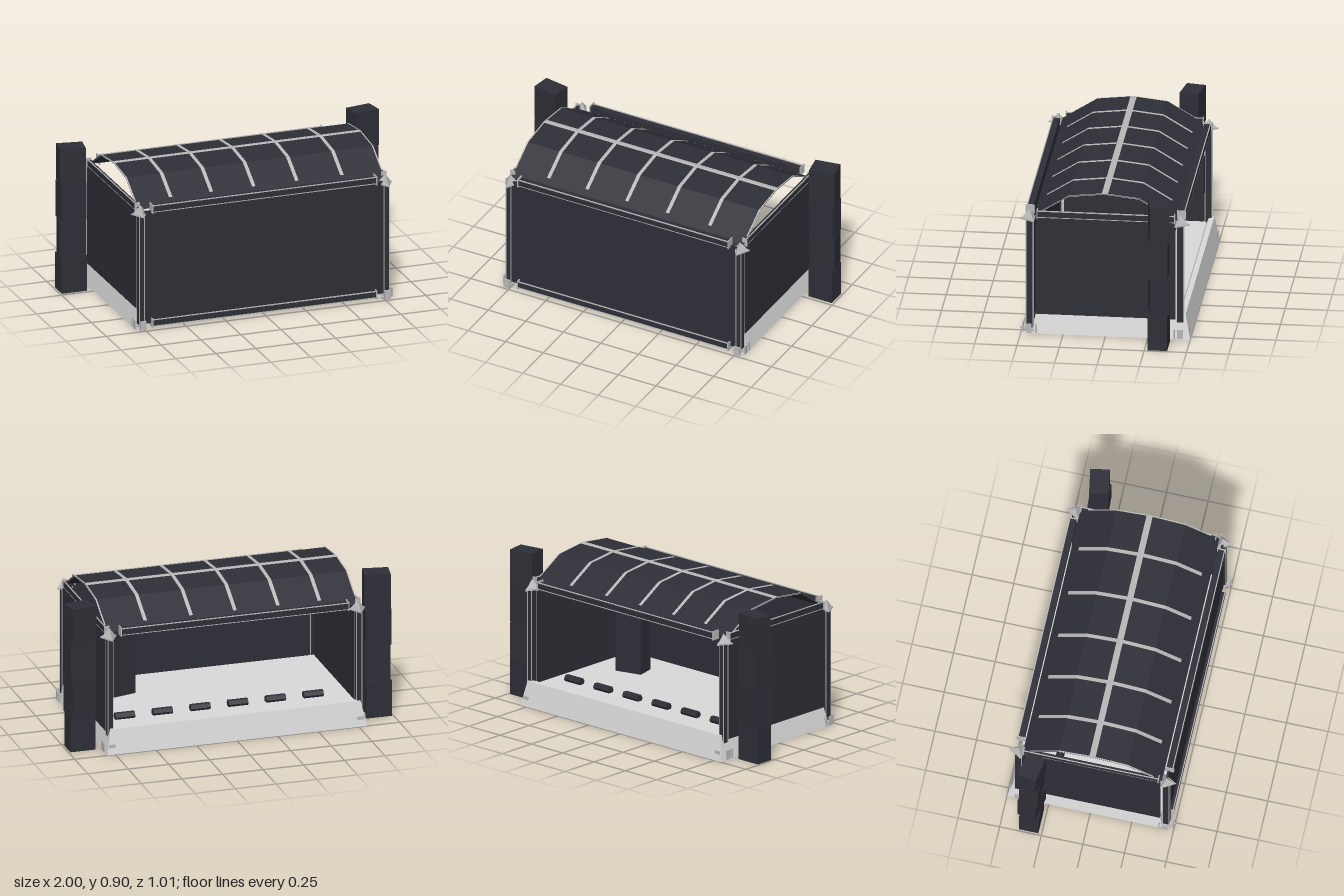
import * as THREE from 'three';

const mat = (name, color, side = THREE.FrontSide) => {
  const m = new THREE.MeshStandardMaterial({ color, side });
  m.name = name;
  return m;
};

export function createModel() {
  const dark = mat('charcoal', 0x2e2e37, THREE.DoubleSide);
  const light = mat('pale grey', 0xd9d9d9, THREE.DoubleSide);
  const trim = mat('trim grey', 0xb8b8b8, THREE.DoubleSide);
  const model = new THREE.Group();
  model.name = 'shelter';

  const add = (name, geo, material, x = 0, y = 0, z = 0, ry = 0) => {
    const m = new THREE.Mesh(geo, material);
    m.name = name;
    m.position.set(x, y, z);
    m.rotation.y = ry;
    model.add(m);
    return m;
  };
  // Box given by its limits on each axis
  const span = (name, material, x0, x1, y0, y1, z0, z1) =>
    add(name, new THREE.BoxGeometry(x1 - x0, y1 - y0, z1 - z0), material,
      (x0 + x1) / 2, (y0 + y1) / 2, (z0 + z1) / 2);

  // Floor slab with battered sides and a raised kerb along the back
  const slab = new THREE.Shape([[0.43, 0], [0.415, 0.12], [-0.425, 0.12], [-0.44, 0.15], [-0.47, 0.15], [-0.5, 0]]
    .map(([z, y]) => new THREE.Vector2(-z, y)));
  const slabGeo = new THREE.ExtrudeGeometry(slab, { depth: 1.6, bevelEnabled: false });
  slabGeo.translate(0, 0, -0.8).rotateY(Math.PI / 2);
  const sp = slabGeo.attributes.position;
  for (let i = 0; i < sp.count; i++) {
    sp.setX(i, sp.getX(i) * (1 - 0.25 * sp.getY(i)));
  }
  slabGeo.computeVertexNormals();
  add('floorSlab', slabGeo, light);

  // Walls: front and two sides, back open
  span('frontWall', dark, -0.75, 0.75, 0.03, 0.73, 0.442, 0.456);
  for (const s of [-1, 1]) {
    const w = span('sideWall', dark, 0.764, 0.782, 0.118, 0.725, -0.41, 0.415);
    w.position.x *= s;
  }

  // Rails with pale edge strips and end caps, running along x or z
  const rail = (name, half, x, y, z, alongZ) => {
    const g = new THREE.Group();
    g.name = name;
    const part = (n, m, w, h, d, px, py, pz) => {
      const b = new THREE.Mesh(new THREE.BoxGeometry(w, h, d), m);
      b.name = n;
      b.position.set(px, py, pz);
      g.add(b);
    };
    const depth = alongZ ? 0.02 : 0.042;
    part('railBar', dark, half * 2, 0.034, depth, 0, 0, 0);
    for (const s of [-1, 1]) {
      part('railEdge', trim, half * 2, 0.006, 0.006, 0, s * 0.019, depth / 2 - 0.003);
      part('railCap', trim, 0.006, 0.055, depth + 0.012, s * half, 0, 0);
    }
    g.position.set(x, y, z);
    if (alongZ) g.rotation.y = x > 0 ? Math.PI / 2 : -Math.PI / 2;
    else if (z < 0) g.rotation.y = Math.PI;
    model.add(g);
  };
  rail('frontTopRail', 0.7, 0, 0.747, 0.455);
  rail('frontBottomRail', 0.7, 0, 0.036, 0.457);
  rail('backTopRail', 0.7, 0, 0.747, -0.438);
  for (const s of [-1, 1]) rail('sideTopRail', 0.405, s * 0.772, 0.747, 0, true);

  // Corner posts with pale edges, three-sided caps and foot brackets
  const capGeo = new THREE.ConeGeometry(0.05, 0.055, 3, 1).toNonIndexed();
  capGeo.computeVertexNormals();
  const plateGeo = new THREE.CylinderGeometry(0.058, 0.058, 0.009, 3).toNonIndexed();
  plateGeo.computeVertexNormals();
  for (const x of [-0.765, 0.765]) {
    for (const z of [0.45, -0.438]) {
      const front = z > 0;
      const y0 = front ? 0.03 : 0.1;
      const turn = front ? 0 : Math.PI;
      span('cornerPost', dark, x - 0.016, x + 0.016, y0, 0.71, z - 0.02, z + 0.02);
      for (const e of [-1, 1]) {
        span('postEdge', trim, x + e * 0.016 - 0.002, x + e * 0.016 + 0.002, y0, 0.71, z - 0.022, z - 0.017);
        span('postEdge', trim, x + e * 0.016 - 0.002, x + e * 0.016 + 0.002, y0, 0.71, z + 0.017, z + 0.022);
      }
      add('postCapPlate', plateGeo, trim, x, 0.712, z, turn);
      add('postCap', capGeo, trim, x, 0.743, z, turn);
      // Foot plate and upright fins
      const out = Math.sign(x);
      if (front) add('footPlate', plateGeo, trim, x, 0.024, z, 0);
      span('footFin', trim, x + out * 0.037 - 0.004, x + out * 0.037 + 0.004, 0.005, 0.06, z - 0.015, z + 0.015);
      const fz = front ? 0.49 : -0.487;
      span('footFin', trim, x - 0.02, x + 0.02, 0.005, 0.06, fz - 0.005, fz + 0.005);
      const iz = front ? 0.412 : -0.405;
      span('footFin', trim, x + out * 0.03 - 0.012, x + out * 0.03 + 0.012, 0.005, 0.06, iz - 0.004, iz + 0.004);
    }
  }

  // Faceted canopy: a thin folded strip between two x limits
  const arc = [[0.425, 0.735], [0.22, 0.865], [0.01, 0.888], [-0.195, 0.865], [-0.41, 0.735]];
  const strip = (x0, x1, path, lift) => {
    const v = [];
    for (let i = 0; i < path.length - 1; i++) {
      const [za, ya] = path[i], [zb, yb] = path[i + 1];
      const a = [x0, ya + lift, za], b = [x1, ya + lift, za];
      const c = [x1, yb + lift, zb], d = [x0, yb + lift, zb];
      v.push(...a, ...b, ...c, ...a, ...c, ...d);
    }
    const g = new THREE.BufferGeometry();
    g.setAttribute('position', new THREE.Float32BufferAttribute(v, 3));
    g.computeVertexNormals();
    return g;
  };
  add('canopy', strip(-0.775, 0.775, arc, 0), dark);

  // Pale ribs and ridge on both faces of the canopy
  const ribArc = [[0.375, 0.767], ...arc.slice(1, 4), [-0.365, 0.763]];
  const ridge = [[0.025, 0.8864], [0.01, 0.888], [-0.012, 0.8855]];
  for (const lift of [0.003, -0.003]) {
    for (const x of [-0.55, -0.295, -0.03, 0.24, 0.522]) {
      add('canopyRib', strip(x - 0.011, x + 0.011, ribArc, lift), trim);
    }
    for (const s of [-1, 1]) add('canopyEndRib', strip(s * 0.771 - 0.004, s * 0.771 + 0.004, ribArc, lift), trim);
    add('canopyRidge', strip(-0.775, 0.775, ridge, lift), trim);
  }

  // Row of low faceted bars on the floor
  const barGeo = new THREE.CylinderGeometry(0.024, 0.024, 0.12, 6).toNonIndexed();
  barGeo.rotateZ(Math.PI / 2);
  barGeo.computeVertexNormals();
  for (let i = 0; i < 6; i++) add('floorBar', barGeo, dark, 0.61 - i * 0.232, 0.135, -0.24);

  // Pedestal inside
  add('pedestal', new THREE.BoxGeometry(0.17, 0.45, 0.12), dark, 0.52, 0.345, 0.17, 0.25);

  // Flanking towers of slightly twisted blocks
  const blockGeo = new THREE.BoxGeometry(0.155, 0.224, 0.115);
  for (const s of [-1, 1]) {
    [0, 0.19, 0.04, 0.17].forEach((turn, i) =>
      add('towerBlock', blockGeo, dark, s * 0.912, 0.112 + i * 0.224, -0.327, s * turn));
  }
  return model;
}
